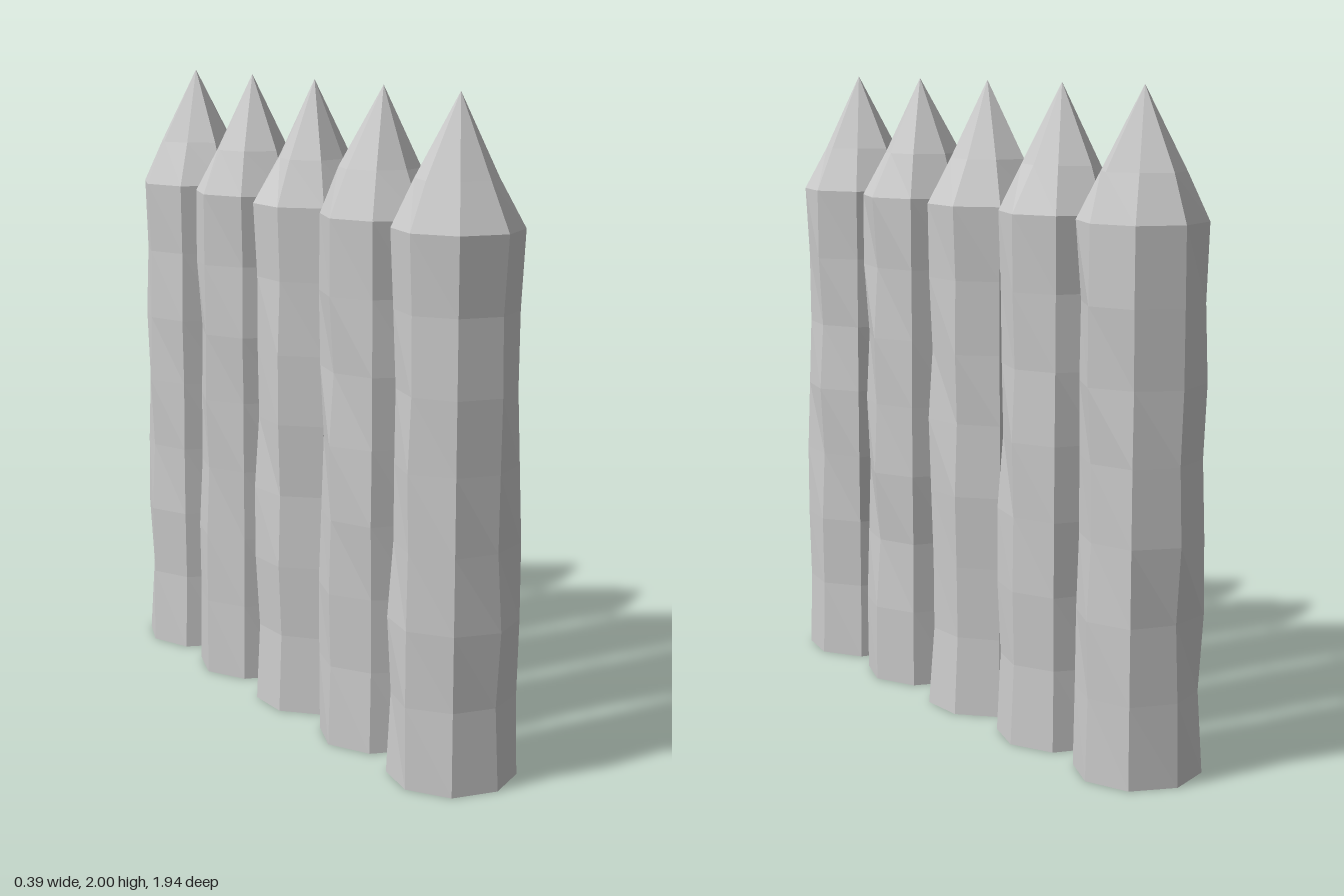
import * as THREE from 'three';

const SIDES = 8;
const RADIUS = 0.194;

// Small seeded generator for the hand-hewn unevenness
function seeded(seed) {
  let s = seed;
  return () => {
    s = (s * 16807) % 2147483647;
    return s / 2147483647;
  };
}

// One octagonal post with uneven sides and a sharpened tip
function createStake(turn, seed, material) {
  const heights = [0, 0.25, 0.48, 0.71, 0.94, 1.16, 1.39, 1.62];
  const profile = [
    new THREE.Vector2(0, 0), // underside
    ...heights.map((y) => new THREE.Vector2(RADIUS, y)),
    new THREE.Vector2(0.117, 1.76), // halfway up the tip
    new THREE.Vector2(0, 2),
  ];
  const rows = profile.length;
  const geometry = new THREE.LatheGeometry(profile, SIDES, THREE.MathUtils.degToRad(turn));

  // Dent the middle rings inwards; base and shoulder stay almost regular
  const random = seeded(seed);
  const dents = Array.from({ length: SIDES * rows }, random);
  const pos = geometry.attributes.position;
  for (let i = 0; i < pos.count; i++) {
    const row = i % rows;
    const side = Math.floor(i / rows) % SIDES;
    const d = dents[side * rows + row];
    let k = 1 - d * 0.11;
    if (row === 1 || row === rows - 3) k = 1 - d * 0.03;
    if (row === rows - 2) k = 0.9 + d * 0.28;
    pos.setXYZ(i, pos.getX(i) * k, pos.getY(i), pos.getZ(i) * k);
  }
  geometry.computeVertexNormals();
  return new THREE.Mesh(geometry, material);
}

export function createModel() {
  const group = new THREE.Group();
  group.name = 'palisade';
  const material = new THREE.MeshStandardMaterial({ color: 0xcccccc, flatShading: true });

  // Row of five stakes from front to back, each turned a little differently
  [10.5, 3, 22.5, 4, 0].forEach((turn, i) => {
    const stake = createStake(turn, 7919 * (i + 3), material);
    stake.name = `stake${i + 1}`;
    stake.position.z = 0.78 - i * 0.39;
    group.add(stake);
  });
  return group;
}
